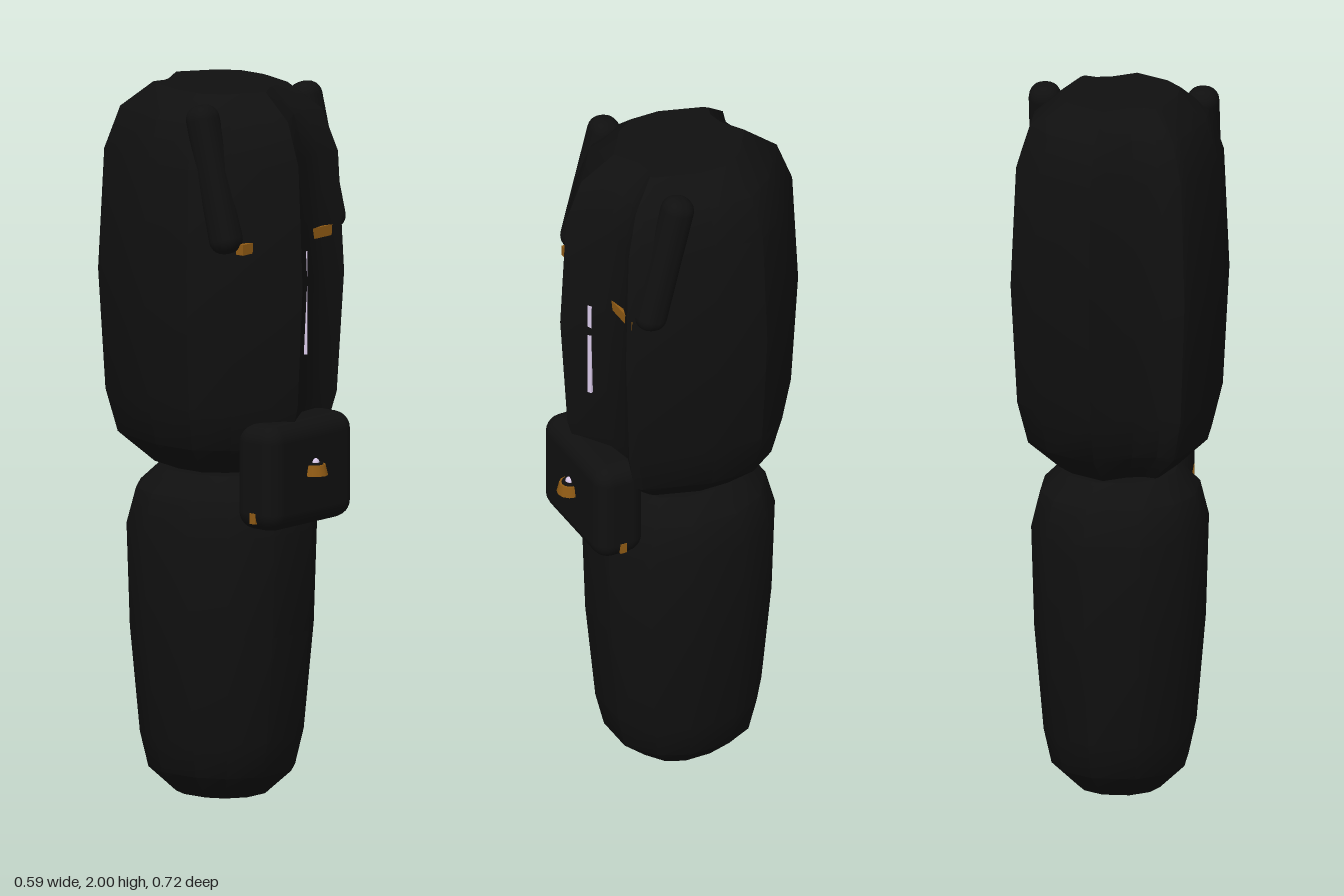
import * as THREE from 'three';
import { toCreasedNormals } from 'three/addons/utils/BufferGeometryUtils.js';
import { RoundedBoxGeometry } from 'three/addons/geometries/RoundedBoxGeometry.js';

const makeMaterial = (name, color) => {
  const m = new THREE.MeshStandardMaterial({ color });
  m.name = name;
  return m;
};

// Closed solid from one outline, scaled about its centre at each [height, scale] level
function ringSolid(outline, levels, centreZ) {
  const n = outline.length, pos = [], index = [];
  for (const [y, s] of levels) {
    for (const [x, z] of outline) pos.push(x * s, y, centreZ + z * s);
  }
  for (let r = 0; r < levels.length - 1; r++) {
    for (let j = 0; j < n; j++) {
      const a = r * n + j, b = r * n + (j + 1) % n;
      index.push(a, a + n, b, b, a + n, b + n);
    }
  }
  const bottom = pos.length / 3, top = bottom + 1, last = (levels.length - 1) * n;
  pos.push(0, levels[0][0], centreZ, 0, levels[levels.length - 1][0], centreZ);
  for (let j = 0; j < n; j++) {
    const k = (j + 1) % n;
    index.push(bottom, j, k, top, last + k, last + j);
  }
  const g = new THREE.BufferGeometry();
  g.setAttribute('position', new THREE.Float32BufferAttribute(pos, 3));
  g.setIndex(index);
  return toCreasedNormals(g, 0.6);
}

// Complete an outline by turning its first half around the centre
const turned = (half) => [...half, ...half.map(([x, z]) => [-x, -z])];

export function createModel() {
  const group = new THREE.Group();
  const black = makeMaterial('black', 0x101010);
  const amber = makeMaterial('amber', 0x8f5a14);
  const pale = makeMaterial('paleLilac', 0xd8c8e8);

  const add = (name, geometry, material, x = 0, y = 0, z = 0) => {
    const mesh = new THREE.Mesh(geometry, material);
    mesh.name = name;
    mesh.position.set(x, y, z);
    group.add(mesh);
    return mesh;
  };

  // Upper segment with a ridge and a hollow beside it, front and back
  const upperOutline = turned([
    [0.293, 0.033], [0.222, 0.25], [0.205, 0.273], [0.145, 0.253],
    [0.065, 0.268], [-0.055, 0.343], [-0.22, 0.228],
  ]);
  // close the flat side between the two halves
  upperOutline.splice(7, 0, [-0.293, 0.123]);
  upperOutline.push([0.293, -0.123]);
  add('upperSegment', ringSolid(upperOutline, [
    [0.93, 0.55], [1.01, 0.84], [1.13, 0.94], [1.47, 1],
    [1.81, 0.95], [1.93, 0.82], [2, 0.55],
  ], -0.0175), black);

  // Lower segment
  const lowerOutline = turned([
    [0.24, 0.08], [0.19, 0.185], [0.08, 0.26],
    [-0.08, 0.26], [-0.19, 0.185], [-0.24, 0.08],
  ]);
  add('lowerSegment', ringSolid(lowerOutline, [
    [0, 0.48], [0.07, 0.77], [0.17, 0.86], [0.47, 0.965],
    [0.76, 1], [0.86, 0.9], [0.92, 0.66],
  ], -0.015), black);

  // Joint guard
  add('jointGuard', new RoundedBoxGeometry(0.36, 0.3, 0.15, 3, 0.05), black, 0, 0.94, 0.25);

  // Round stud on the guard
  add('studBase', new THREE.CylinderGeometry(0.03, 0.037, 0.03, 12), amber, 0, 0.95, 0.324);
  add('studRing', new THREE.CylinderGeometry(0.022, 0.024, 0.006, 12), black, 0, 0.967, 0.324);
  add('studTip', new THREE.SphereGeometry(0.013, 12, 8), pale, 0, 0.969, 0.324);

  // Thin pale slit on the ridge
  const slit = add('slit', new THREE.BoxGeometry(0.012, 0.29, 0.008), pale, 0.022, 1.41, 0.272);
  slit.rotation.y = 0.55;

  for (const side of [1, -1]) {
    // Sloping shoulder straps
    const strap = add('strap', new RoundedBoxGeometry(0.09, 0.42, 0.09, 3, 0.04), black,
      side * 0.22, 1.78, 0.145);
    strap.rotation.x = -0.25;
    // Amber bars and side pins
    add('amberBar', new THREE.BoxGeometry(0.14, 0.03, 0.025), amber, side * 0.14, 1.59, 0.228);
    add('sidePin', new THREE.BoxGeometry(0.008, 0.03, 0.02), amber, side * 0.178, 0.828, 0.25);
  }
  return group;
}
